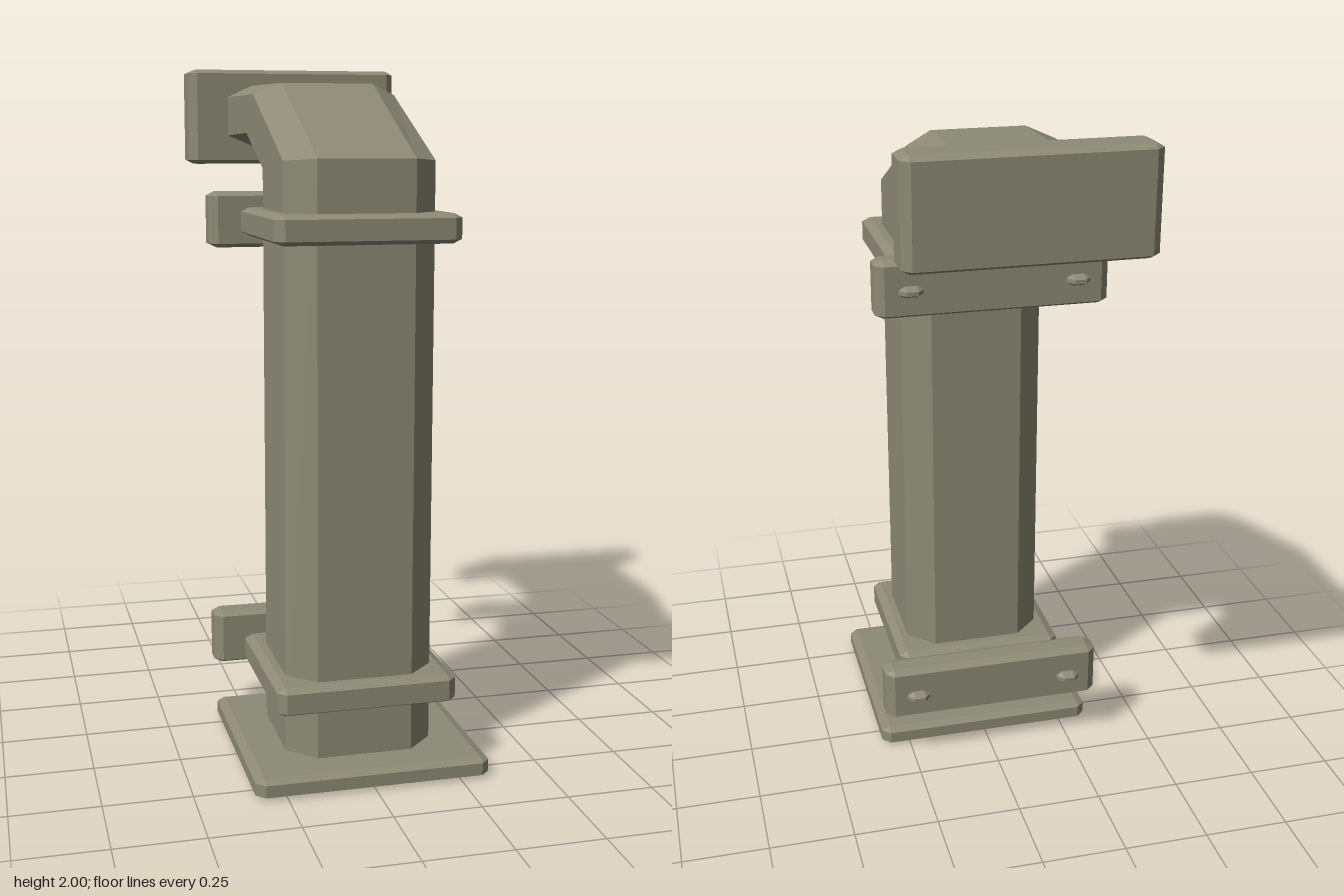
import * as THREE from 'three';
import { ConvexGeometry } from 'three/addons/geometries/ConvexGeometry.js';

const metal = new THREE.MeshStandardMaterial({ color: 0x8c8a76 });
metal.name = 'weathered olive grey';
metal.flatShading = true;

// Box with every edge chamfered; bevel is given per axis
function chamferBox(name, [w, h, d], [bx, by, bz], [x, y, z]) {
  const points = [];
  for (const sx of [-1, 1]) for (const sy of [-1, 1]) for (const sz of [-1, 1]) {
    const X = w / 2, Y = h / 2, Z = d / 2;
    points.push(
      new THREE.Vector3(sx * X, sy * (Y - by), sz * (Z - bz)),
      new THREE.Vector3(sx * (X - bx), sy * Y, sz * (Z - bz)),
      new THREE.Vector3(sx * (X - bx), sy * (Y - by), sz * Z));
  }
  const mesh = new THREE.Mesh(new ConvexGeometry(points), metal);
  mesh.name = name;
  mesh.position.set(x, y, z);
  return mesh;
}

// Octagonal duct lofted through sections of [z, y] pairs, outer edge to inner edge
function bentPipe() {
  const sections = [
    [[0.458, 0.02], [0.382, 0.02], [0.11, 0.02], [0.034, 0.02]],
    [[0.458, 1.73], [0.382, 1.724], [0.11, 1.699], [0.034, 1.693]],
    [[0.014, 1.942], [-0.024, 1.91], [-0.132, 1.8], [-0.16, 1.767]],
    [[-0.47, 1.95], [-0.47, 1.914], [-0.47, 1.793], [-0.47, 1.761]],
  ];
  const halfWidths = [0.137, 0.214, 0.214, 0.137];
  const positions = [], index = [];
  sections.forEach((section, s) => {
    for (let i = 0; i < 8; i++) {
      const k = i < 4 ? i : 7 - i;
      positions.push((i < 4 ? 1 : -1) * halfWidths[k], section[k][1], section[k][0]);
      if (s === 0) continue;
      const j = (i + 1) % 8, lo = (s - 1) * 8, hi = s * 8;
      index.push(lo + i, lo + j, hi + j, lo + i, hi + j, hi + i);
    }
  });
  const indexed = new THREE.BufferGeometry();
  indexed.setAttribute('position', new THREE.Float32BufferAttribute(positions, 3));
  indexed.setIndex(index);
  const geometry = indexed.toNonIndexed();
  geometry.computeVertexNormals();
  const mesh = new THREE.Mesh(geometry, metal);
  mesh.name = 'bentPipe';
  return mesh;
}

// Collar round the pipe, with a wall bracket and two bolts behind it
function clamp(name, y) {
  const group = new THREE.Group();
  group.name = name;
  group.position.y = y;
  group.add(
    chamferBox('collar', [0.52, 0.082, 0.52], [0.025, 0.012, 0.025], [0, 0, 0.245]),
    chamferBox('bracketArm', [0.2, 0.064, 0.14], [0.02, 0.01, 0.01], [0, 0, -0.05]),
    chamferBox('wallBracket', [0.674, 0.166, 0.1], [0.025, 0.012, 0.025], [0, 0, -0.13]));
  for (const side of [-1, 1]) {
    group.add(chamferBox('bolt', [0.07, 0.032, 0.05], [0.018, 0.01, 0.023], [side * 0.24, 0, -0.19]));
  }
  return group;
}

export function createModel() {
  const model = new THREE.Group();
  model.name = 'wallPipe';
  model.add(
    bentPipe(),
    chamferBox('basePlate', [0.674, 0.055, 0.668], [0.025, 0.01, 0.025], [0, 0.0275, 0.247]),
    chamferBox('wallFlange', [0.674, 0.296, 0.137], [0.025, 0.012, 0.025], [0, 1.852, -0.5125]),
    clamp('lowerClamp', 0.24),
    clamp('upperClamp', 1.544));
  return model;
}
